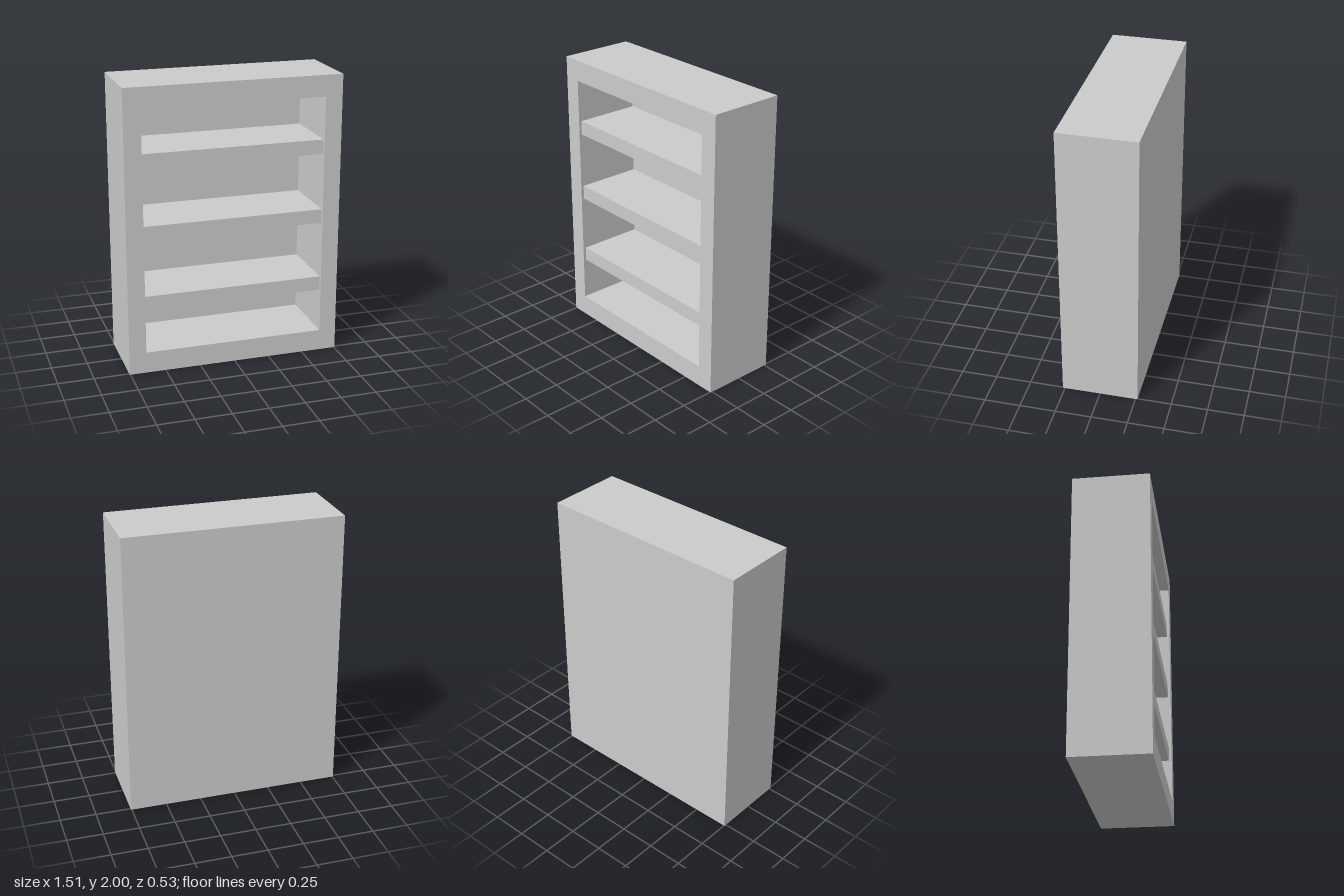
import * as THREE from 'three';

const W = 1.51, H = 2, D = 0.53;               // outer case
const OPEN_W = 1.27, OPEN_Y0 = 0.15, OPEN_Y1 = 1.852; // front opening
const BACK = 0.045, RECESS = 0.02, SHELF_T = 0.1;

export function createModel() {
  const group = new THREE.Group();
  group.name = 'bookcase';
  const material = new THREE.MeshStandardMaterial({ color: 0xcccccc });

  const add = (name, geometry, x, y, z) => {
    const mesh = new THREE.Mesh(geometry, material);
    mesh.name = name;
    mesh.position.set(x, y, z);
    group.add(mesh);
  };

  // Case: sides, top and base as one frame around the opening
  const frame = new THREE.Shape([
    new THREE.Vector2(-W / 2, 0), new THREE.Vector2(W / 2, 0),
    new THREE.Vector2(W / 2, H), new THREE.Vector2(-W / 2, H),
  ]);
  frame.holes.push(new THREE.Path([
    new THREE.Vector2(-OPEN_W / 2, OPEN_Y0), new THREE.Vector2(-OPEN_W / 2, OPEN_Y1),
    new THREE.Vector2(OPEN_W / 2, OPEN_Y1), new THREE.Vector2(OPEN_W / 2, OPEN_Y0),
  ]));
  const frameDepth = D - BACK;
  add('caseFrame', new THREE.ExtrudeGeometry(frame, { depth: frameDepth, bevelEnabled: false }),
    0, 0, D / 2 - frameDepth);

  // Back panel closing the case
  add('backPanel', new THREE.BoxGeometry(W, H, BACK), 0, H / 2, -D / 2 + BACK / 2);

  // Three shelves, set slightly behind the front edge
  const shelfDepth = frameDepth - RECESS;
  [0.504, 1.003, 1.501].forEach((y, i) => {
    add(`shelf${i + 1}`, new THREE.BoxGeometry(OPEN_W, SHELF_T, shelfDepth),
      0, y, -D / 2 + BACK + shelfDepth / 2);
  });

  return group;
}
